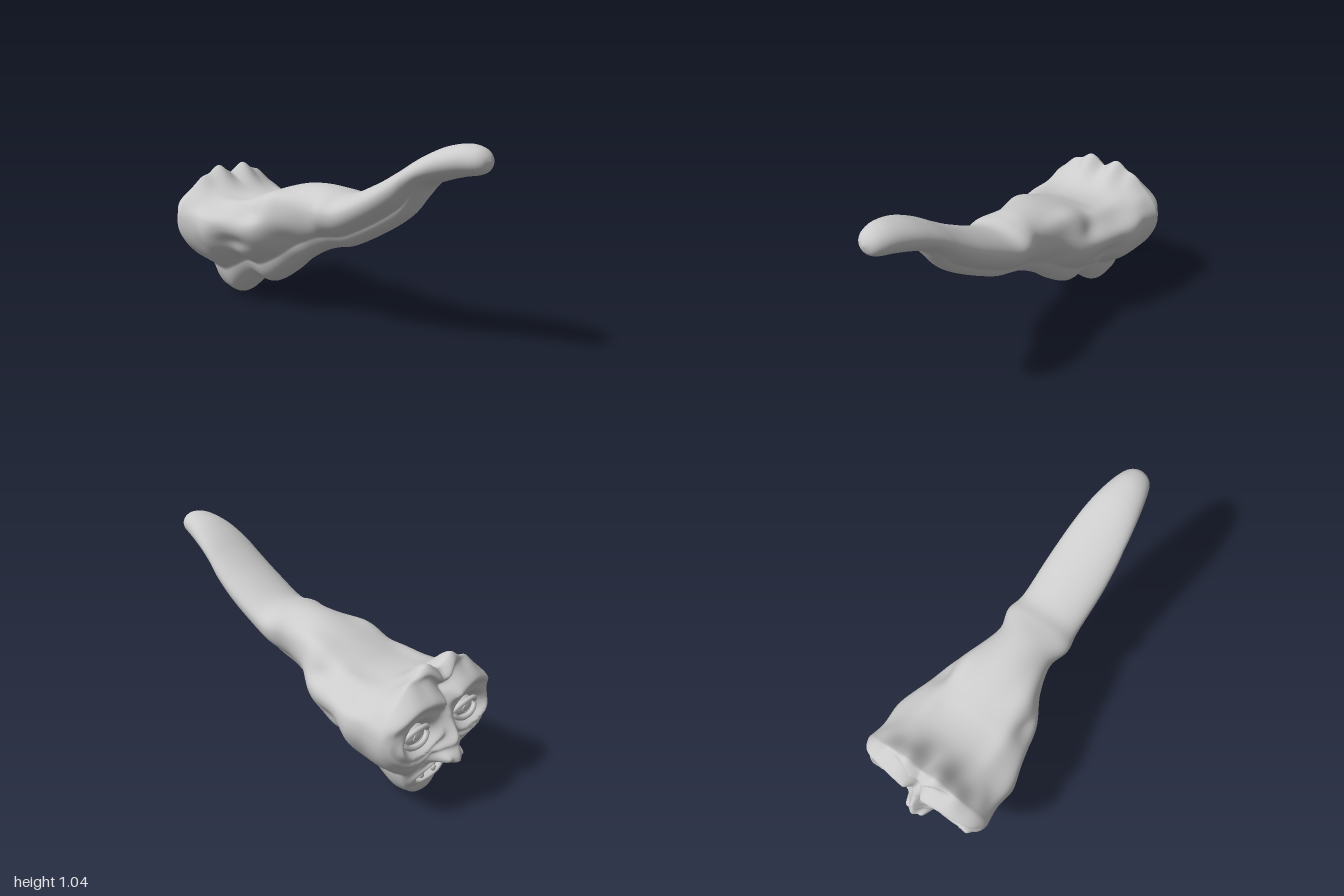
import * as THREE from 'three';

const SEG = 180, BODY_RINGS = 110, FACE_RINGS = 80;

// Body cross-sections: z, top, bottom, half width, height of widest point (0..1), keel strength
const SECTIONS = [
  [1, 0.97, 0.965, 0, 0.5, 0],
  [0.985, 1.0, 0.925, 0.045, 0.5, 0],
  [0.95, 1.025, 0.905, 0.075, 0.5, 0],
  [0.88, 1.035, 0.89, 0.1, 0.5, 0],
  [0.78, 1.015, 0.86, 0.125, 0.5, 0],
  [0.69, 0.975, 0.82, 0.142, 0.5, 0.1],
  [0.63, 0.94, 0.74, 0.15, 0.62, 0.6],
  [0.56, 0.895, 0.655, 0.16, 0.65, 0.8],
  [0.42, 0.815, 0.56, 0.17, 0.65, 0.8],
  [0.22, 0.727, 0.455, 0.173, 0.65, 0.7],
  [0.11, 0.73, 0.425, 0.19, 0.65, 0.6],
  [0, 0.74, 0.385, 0.16, 0.62, 0.4],
  [-0.14, 0.728, 0.305, 0.2, 0.6, 0.6],
  [-0.27, 0.695, 0.205, 0.278, 0.63, 0.9],
  [-0.4, 0.65, 0.13, 0.312, 0.67, 1],
  [-0.5, 0.62, 0.14, 0.338, 0.7, 1],
  [-0.6, 0.62, 0.07, 0.37, 0.7, 1],
  [-0.69, 0.66, 0.002, 0.358, 0.7, 1],
  [-0.77, 0.7, 0.012, 0.372, 0.68, 1],
];

// Soft lumps and hollows, mirrored: centre, radii, push outward, push up
const STROKES = [
  [0.09, 0.7, -0.8, 0.06, 0.1, 0.09, 0, 0.065],
  [0.2, 0.66, -0.82, 0.055, 0.09, 0.07, 0, 0.035],
  [0.3, 0.62, -0.74, 0.06, 0.06, 0.06, 0.015, 0],
  [0.3, 0.52, -0.6, 0.1, 0.035, 0.14, 0.015, 0],
  [0.25, 0.57, -0.33, 0.1, 0.05, 0.08, -0.03, 0],
  [0.25, 0.4, -0.45, 0.12, 0.05, 0.1, -0.035, 0],
  [0.2, 0.45, -0.14, 0.1, 0.06, 0.08, -0.02, 0],
  [0.17, 0.66, -0.2, 0.06, 0.06, 0.16, 0.02, 0],
  [0.22, 0.61, -0.5, 0.06, 0.06, 0.15, 0, 0.02],
  [0.28, 0.36, -0.66, 0.1, 0.08, 0.06, -0.015, 0],
];

const bell = (d) => Math.exp(-d * d);
const step = THREE.MathUtils.smoothstep;

function sectionAt(t) {
  const n = SECTIONS.length - 1, f = t * n, i = Math.min(Math.floor(f), n - 1), u = f - i;
  const at = (k) => SECTIONS[Math.max(0, Math.min(n, k))];
  return SECTIONS[0].map((_, c) => {
    const a = at(i - 1)[c], b = at(i)[c], d = at(i + 1)[c], e = at(i + 2)[c];
    return b + 0.5 * u * (d - a + u * (2 * a - 5 * b + 4 * d - e + u * (3 * (b - d) + e - a)));
  });
}

// Round above; below, wide flanks blend into a narrower rounded keel
function outline([z, top, bottom, w, mid, keel], a) {
  const c = Math.cos(a), s = Math.sin(a), m = bottom + (top - bottom) * mid;
  let x = c;
  if (s < 0) {
    const flank = Math.max(0, 1 - (s / 0.66) ** 2) ** 3;
    const column = (0.47 * Math.sqrt(Math.max(0, 1 - s ** 4))) ** 6;
    x = THREE.MathUtils.lerp(c, Math.sign(c) * (flank + column) ** (1 / 6), keel);
  }
  return new THREE.Vector3(w * x, m + s * (s > 0 ? top - m : m - bottom), z);
}

// How far the face reaches backwards (-z) at a given point
function faceDepth(px, y) {
  const x = Math.abs(px);
  let d = 0.8 + 0.085 * step(y, 0.08, 0.32) - 0.03 * step(y, 0.64, 0.75);
  // puffy brow arch, frown and forehead folds
  const arch = 0.56 + 0.05 * Math.sin(Math.min(x / 0.34, 1) * Math.PI);
  d += 0.045 * bell((y - arch) / 0.034) * step(x, 0.01, 0.06);
  d -= 0.03 * bell((y - arch - 0.055) / 0.02);
  d += 0.02 * bell((y - arch - 0.1) / 0.025);
  d -= 0.03 * bell(x / 0.022) * step(y, 0.54, 0.62);
  // eye sockets with sagging bags
  const e = Math.hypot((x - 0.18) / 0.088, (y - 0.445) / 0.06);
  d -= 0.06 * Math.exp(-0.6 * e ** 4);
  const under = 1 - step(y, 0.4, 0.5);
  d += under * (0.022 * bell((e - 1.5) / 0.2) + 0.018 * bell((e - 2.05) / 0.2));
  d += 0.02 * bell(Math.hypot((x - 0.3) / 0.05, (y - 0.45) / 0.1));
  // nose bridge, rounded tip and nostril wings
  const drop = step(y, 0.245, 0.285), fall = step(0.56 - y, 0, 0.3);
  d += drop * (0.025 + 0.085 * fall) * bell(x / (0.032 + 0.018 * fall)) * (1 - step(y, 0.5, 0.58));
  d += drop * 0.05 * bell(Math.hypot((x - 0.055) / 0.024, (y - 0.3) / 0.032));
  // cheek crease, lips, open mouth and chin
  d -= 0.02 * bell((x - 0.105 - (0.3 - y) * 0.35) / 0.02) * bell((y - 0.26) / 0.07);
  const m = Math.hypot(x / 0.098, (y - 0.185 + 3 * x * x) / 0.06);
  d += 0.02 * bell((m - 1.2) / 0.2) - 0.11 * (1 - step(m, 0.75, 1.08));
  return d + 0.02 * bell(Math.hypot(x / 0.08, (y - 0.06) / 0.05));
}

function sculpt(p) {
  const x = Math.abs(p.x), out = new THREE.Vector2(p.x, p.y - 0.45).normalize();
  const move = new THREE.Vector3();
  for (const [cx, cy, cz, rx, ry, rz, push, lift] of STROKES) {
    const k = bell(Math.hypot((x - cx) / rx, (p.y - cy) / ry, (p.z - cz) / rz));
    move.x += k * push * out.x;
    move.y += k * (push * out.y + lift);
  }
  return p.add(move);
}

function bodyGeometry() {
  const pos = [], index = [];
  for (let i = 0; i <= BODY_RINGS + FACE_RINGS; i++) {
    const sec = sectionAt(Math.min(i / BODY_RINGS, 1));
    const s = 1 - Math.max(0, (i - BODY_RINGS) / FACE_RINGS) ** 1.4;
    const lean = 0.05 * step(i, BODY_RINGS * 0.85, BODY_RINGS);
    for (let j = 0; j < SEG; j++) {
      const p = outline(sec, (j / SEG) * Math.PI * 2);
      // the head leans back over the chin
      p.z -= lean * step(p.y, 0.1, 0.5);
      if (i > BODY_RINGS) {
        p.x *= s;
        p.y = 0.34 + (p.y - 0.34) * s;
        p.z = THREE.MathUtils.lerp(p.z, -faceDepth(p.x, p.y), Math.sqrt(1 - s ** 8));
      }
      sculpt(p);
      pos.push(p.x, p.y, p.z);
    }
  }
  for (let i = 0; i < BODY_RINGS + FACE_RINGS; i++)
    for (let j = 0; j < SEG; j++) {
      const a = i * SEG + j, b = i * SEG + ((j + 1) % SEG);
      index.push(a, a + SEG, b, b, a + SEG, b + SEG);
    }
  const g = new THREE.BufferGeometry();
  g.setAttribute('position', new THREE.Float32BufferAttribute(pos, 3));
  g.setIndex(index);
  g.computeVertexNormals();
  return g;
}

export function createModel() {
  const model = new THREE.Group();
  const material = new THREE.MeshStandardMaterial({ color: 0xcccccc });
  const add = (name, geometry, x = 0, y = 0, z = 0) => {
    const mesh = new THREE.Mesh(geometry, material);
    mesh.name = name;
    mesh.position.set(x, y, z);
    model.add(mesh);
    return mesh;
  };

  add('bodyAndFace', bodyGeometry());

  const ball = new THREE.SphereGeometry(1, 28, 20);
  // Lid arcs follow the rim of the eyeball
  const lid = (from, to, ry) => {
    const pts = [];
    for (let i = 0; i <= 10; i++) {
      const a = from + ((to - from) * i) / 10;
      pts.push(new THREE.Vector3(0.08 * Math.cos(a), ry * Math.sin(a), -0.022 * Math.abs(Math.sin(a))));
    }
    return new THREE.TubeGeometry(new THREE.CatmullRomCurve3(pts), 28, 0.013, 8);
  };
  for (const side of [-1, 1]) {
    const tag = side > 0 ? 'left' : 'right', x = side * 0.18;
    add(tag + 'Eye', ball, x, 0.445, -0.835).scale.set(0.076, 0.048, 0.045);
    add(tag + 'Iris', new THREE.TorusGeometry(0.022, 0.003, 8, 24), x, 0.445, -0.876).scale.x = 1.3;
    add(tag + 'UpperLid', lid(0, Math.PI, 0.042), x, 0.448, -0.858);
    add(tag + 'LowerLid', lid(Math.PI, Math.PI * 2, 0.042), x, 0.442, -0.858);
    // Teeth
    add(tag + 'UpperInnerTooth', ball, side * 0.021, 0.228, -0.838).scale.set(0.017, 0.024, 0.016);
    add(tag + 'UpperOuterTooth', ball, side * 0.059, 0.214, -0.832).scale.set(0.016, 0.022, 0.016);
    add(tag + 'LowerTooth', ball, side * 0.045, 0.14, -0.81).scale.set(0.014, 0.02, 0.014);
  }
  return model;
}
